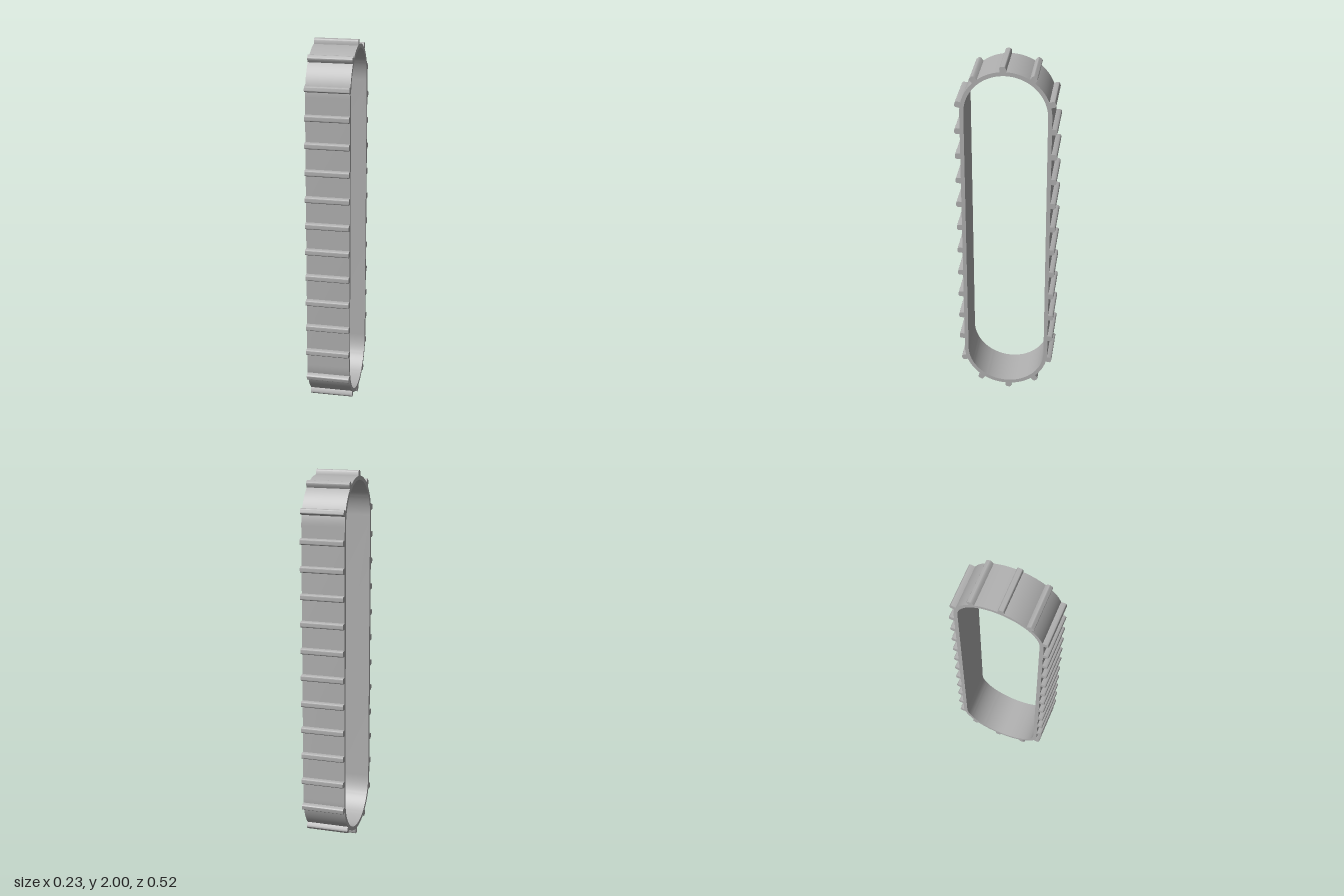
import * as THREE from 'three';
import { toCreasedNormals } from 'three/addons/utils/BufferGeometryUtils.js';

const WIDTH = 0.232;      // across x
const HALF = 0.74;        // half length of the straight runs
const OUTER = 0.234, INNER = 0.213, TIP = 0.262;
const PITCH_R = 0.216;    // radius at which the lug spacing is even
const LUGS = 30;

// Stadium outline around the origin, long axis vertical
function stadium(target, r) {
  target.moveTo(r, -HALF);
  target.lineTo(r, HALF);
  target.absarc(0, HALF, r, 0, Math.PI, false);
  target.lineTo(-r, -HALF);
  target.absarc(0, -HALF, r, Math.PI, Math.PI * 2, false);
  return target;
}

function extrudeAcross(shape, curveSegments) {
  const g = new THREE.ExtrudeGeometry(shape, { depth: WIDTH, bevelEnabled: false, curveSegments });
  g.translate(0, 0, -WIDTH / 2);
  return toCreasedNormals(g, 0.6);
}

// Position and outward angle at distance s along the loop, from the start of the +u straight
function along(s) {
  const arc = Math.PI * PITCH_R, half = 2 * HALF + arc;
  s = ((s % (2 * half)) + 2 * half) % (2 * half);
  const turn = s >= half ? Math.PI : 0;
  if (turn) s -= half;
  const sign = turn ? -1 : 1;
  if (s < 2 * HALF) return { y: sign * (s - HALF), angle: turn };
  return { y: sign * HALF, angle: turn + (s - 2 * HALF) / PITCH_R };
}

export function createModel() {
  const rubber = new THREE.MeshStandardMaterial({ color: 0xb0b0b0 });
  rubber.name = 'grey rubber';
  const model = new THREE.Group();
  model.name = 'trackBelt';

  // Everything is profiled in a (u, y) plane, then turned so u points to +z
  const loop = new THREE.Group();
  loop.name = 'beltLoop';
  loop.rotation.y = -Math.PI / 2;
  loop.position.y = 1;
  model.add(loop);

  // Smooth band
  const bandShape = stadium(new THREE.Shape(), OUTER);
  bandShape.holes.push(stadium(new THREE.Path(), INNER));
  const band = new THREE.Mesh(extrudeAcross(bandShape, 32), rubber);
  band.name = 'band';
  loop.add(band);

  // Grip lug with rounded outer corners, its base sunk into the band
  const w = 0.016, c = 0.011, base = OUTER - 0.008;
  const lugShape = new THREE.Shape();
  lugShape.moveTo(base, -w);
  lugShape.lineTo(TIP - c, -w);
  lugShape.absarc(TIP - c, -w + c, c, -Math.PI / 2, 0, false);
  lugShape.lineTo(TIP, w - c);
  lugShape.absarc(TIP - c, w - c, c, 0, Math.PI / 2, false);
  lugShape.lineTo(base, w);
  const lugGeometry = extrudeAcross(lugShape, 5);

  const pitch = (4 * HALF + 2 * Math.PI * PITCH_R) / LUGS;
  const start = HALF + 0.635;   // one lug sits high on the front run
  for (let i = 0; i < LUGS; i++) {
    const { y, angle } = along(start + i * pitch);
    const lug = new THREE.Mesh(lugGeometry, rubber);
    lug.name = 'gripLug' + (i + 1);
    lug.position.y = y;
    lug.rotation.z = angle;
    loop.add(lug);
  }
  return model;
}
